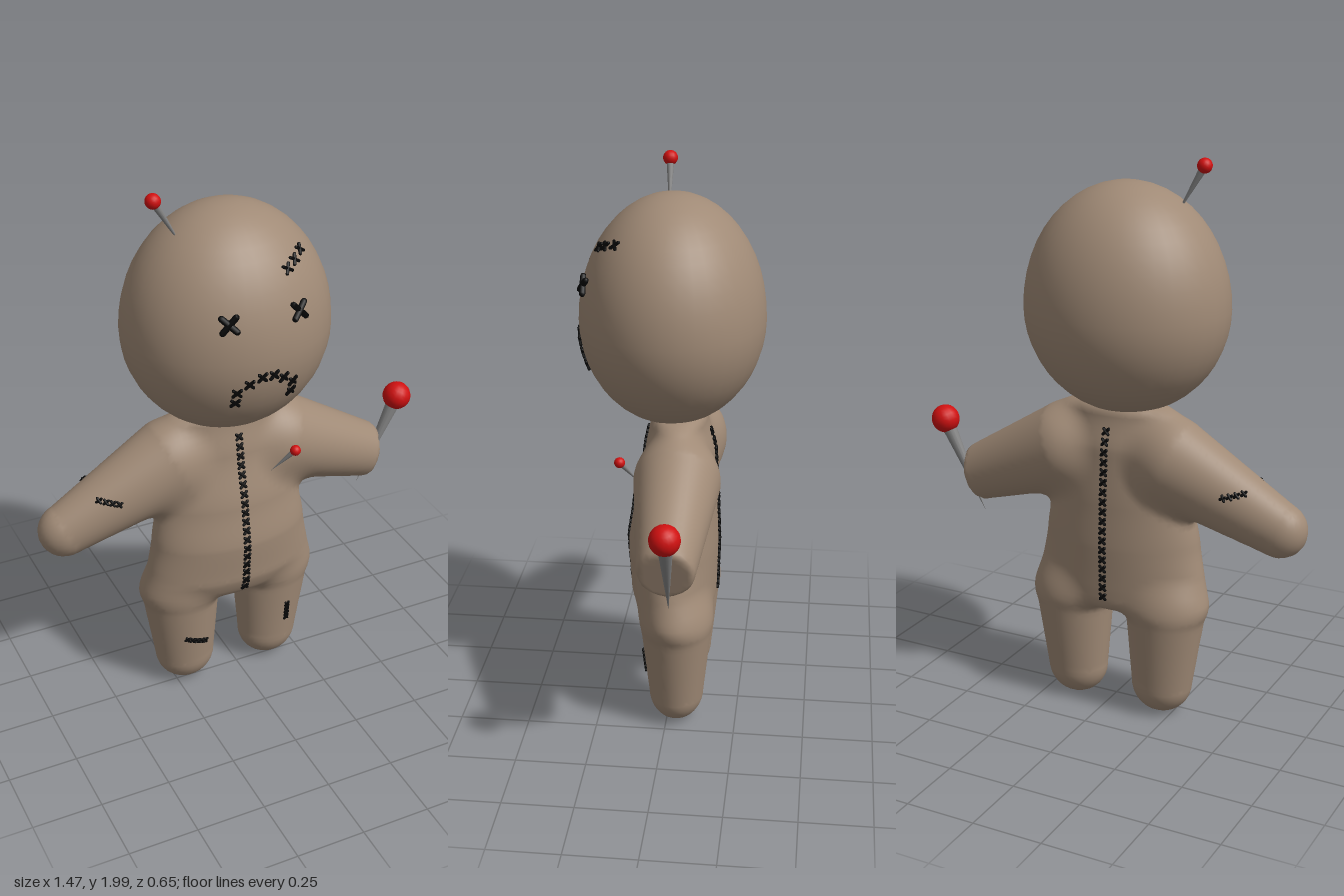
import * as THREE from 'three';

const mat = (name, color) => Object.assign(new THREE.MeshStandardMaterial({ color }), { name });
const CX = -0.03; // body centre line

// Blending helpers
const smin = (a, b, k) => {
  const h = Math.max(k - Math.abs(a - b), 0) / k;
  return Math.min(a, b) - h * h * k / 4;
};
const smax = (a, b, k) => -smin(-a, -b, k);

// Tapered limb from a to b in the xy plane, flattened in z
function limb(x, y, z, [ax, ay, ar], [bx, by, br], cz, flat) {
  const dx = bx - ax, dy = by - ay;
  const t = Math.min(1, Math.max(0, ((x - ax) * dx + (y - ay) * dy) / (dx * dx + dy * dy)));
  return Math.hypot(x - ax - t * dx, y - ay - t * dy, (z - cz) / flat) - (ar + t * (br - ar));
}

// Torso sections: height, half width, front z, back z
const TORSO = [
  [0.28, 0.30, 0.07, -0.15], [0.38, 0.33, 0.10, -0.16], [0.50, 0.32, 0.145, -0.165],
  [0.65, 0.295, 0.155, -0.168], [0.80, 0.27, 0.135, -0.163], [1.00, 0.24, 0.095, -0.152],
  [1.12, 0.20, 0.075, -0.125], [1.22, 0.16, 0.06, -0.11],
];
function torso(x, y, z) {
  let i = 0;
  while (i < TORSO.length - 2 && y > TORSO[i + 1][0]) i++;
  const a = TORSO[i], b = TORSO[i + 1];
  let t = Math.min(1, Math.max(0, (y - a[0]) / (b[0] - a[0])));
  t = 0.5 * t + 0.5 * t * t * (3 - 2 * t);
  const [w, f, r] = [1, 2, 3].map((n) => a[n] + t * (b[n] - a[n]));
  const d = (f - r) / 2;
  const side = (Math.hypot((x - CX) / w, (z - (f + r) / 2) / d) - 1) * d;
  return smax(smax(side, 0.40 - y, 0.05), y - 1.16, 0.04);
}

// Blended body: torso, two legs, a rounded right arm and a blunt left arm
function bodyField(x, y, z) {
  const s = Math.abs(x - CX);
  const leg = limb(s, y, z, [0.183, 0.40, 0.146], [0.172, 0.117, 0.112], -0.033, 0.88);
  const rightArm = limb(x, y, z, [-0.24, 0.96, 0.16], [-0.638, 0.785, 0.098], -0.04, 0.86);
  const leftArm = smax(
    limb(x, y, z, [0.18, 0.96, 0.16], [0.56, 0.795, 0.102], -0.037, 0.94),
    0.955 * (x - 0.562) - 0.29 * (y - 0.80), 0.02);
  return smin(smin(torso(x, y, z), leg, 0.045), Math.min(rightArm, leftArm), 0.05);
}

// Egg-shaped head
const HEAD = { x: -0.04, y: 1.485, w: 0.365, up: 0.43, down: 0.37, d: 0.322 };
const headField = (x, y, z) => (Math.hypot((x - HEAD.x) / HEAD.w,
  (y - HEAD.y) / (y > HEAD.y ? HEAD.up : HEAD.down), z / HEAD.d) - 1) * HEAD.d;

function normalAt(f, p) {
  const e = 0.004, [x, y, z] = p;
  return new THREE.Vector3(f(x + e, y, z) - f(x - e, y, z),
    f(x, y + e, z) - f(x, y - e, z), f(x, y, z + e) - f(x, y, z - e)).normalize();
}

// Skin a field: one vertex per crossed grid cell, one quad per crossed grid edge
function skin(f, min, max, step) {
  const n = min.map((m, i) => Math.ceil((max[i] - m) / step) + 1);
  const id = (i, j, k) => i + n[0] * (j + n[1] * k);
  const at = (c) => c.map((v, i) => min[i] + v * step);
  const val = new Float32Array(n[0] * n[1] * n[2]);
  const each = (lo, cut, fn) => {
    for (let k = lo; k < n[2] - cut; k++)
      for (let j = lo; j < n[1] - cut; j++)
        for (let i = lo; i < n[0] - cut; i++) fn([i, j, k]);
  };
  each(0, 0, (c) => { val[id(...c)] = f(...at(c)); });
  const pos = [], nor = [], idx = [], vert = new Map();
  each(0, 1, (c) => {
    const sum = [0, 0, 0];
    let hits = 0;
    for (let q = 0; q < 8; q++) for (let a = 0; a < 3; a++) {
      if (q >> a & 1) continue;
      const p = c.map((v, i) => v + (q >> i & 1)), r = p.slice();
      r[a]++;
      const u = val[id(...p)], v = val[id(...r)];
      if (u < 0 === v < 0) continue;
      p[a] += u / (u - v);
      p.forEach((w, i) => { sum[i] += w; });
      hits++;
    }
    if (!hits) return;
    const p = new THREE.Vector3(...at(sum.map((w) => w / hits)));
    p.addScaledVector(normalAt(f, p.toArray()), -0.8 * f(p.x, p.y, p.z));
    vert.set(id(...c), pos.length / 3);
    pos.push(...p.toArray());
    nor.push(...normalAt(f, p.toArray()).toArray());
  });
  each(1, 1, (c) => {
    for (let a = 0; a < 3; a++) {
      const r = c.slice();
      r[a]++;
      const inside = val[id(...c)] < 0;
      if (inside === val[id(...r)] < 0) continue;
      const cell = (du, dv) => {
        const q = c.slice();
        q[(a + 1) % 3] -= du;
        q[(a + 2) % 3] -= dv;
        return vert.get(id(...q));
      };
      const [A, B, C, D] = [cell(1, 1), cell(0, 1), cell(0, 0), cell(1, 0)];
      idx.push(...(inside ? [A, B, C, A, C, D] : [A, C, B, A, D, C]));
    }
  });
  const g = new THREE.BufferGeometry();
  g.setAttribute('position', new THREE.Float32BufferAttribute(pos, 3));
  g.setAttribute('normal', new THREE.Float32BufferAttribute(nor, 3));
  g.setIndex(idx);
  return g;
}

export function createModel() {
  const cloth = mat('cloth', 0xa08a76), thread = mat('thread', 0x050505);
  const red = mat('pinRed', 0xd01010), steel = mat('steel', 0x858585);
  const model = new THREE.Group();
  const add = (parent, name, geo, m) => {
    const mesh = new THREE.Mesh(geo, m);
    mesh.name = name;
    parent.add(mesh);
    return mesh;
  };

  add(model, 'body', skin(bodyField, [-0.80, -0.05, -0.24], [0.68, 1.22, 0.24], 0.02), cloth);

  // Head: a sphere stretched to the egg shape
  const head = new THREE.SphereGeometry(1, 36, 24);
  const hp = head.attributes.position;
  for (let i = 0; i < hp.count; i++) {
    const y = hp.getY(i);
    const p = [HEAD.x + hp.getX(i) * HEAD.w, HEAD.y + y * (y > 0 ? HEAD.up : HEAD.down), hp.getZ(i) * HEAD.d];
    hp.setXYZ(i, ...p);
    head.attributes.normal.setXYZ(i, ...normalAt(headField, p).toArray());
  }
  add(model, 'head', head, cloth);

  // Rows of crossed stitches laid on the cloth; side is +1 front, -1 back
  function stitches(name, field, points, reach, thick, side = 1, turn = 0) {
    const row = new THREE.Group();
    row.name = name;
    const geo = new THREE.CapsuleGeometry(thick, 2 * (reach - thick), 3, 6);
    for (const [x, y] of points) {
      let z = side * 0.4;
      for (let i = 0; i < 60; i++) z -= side * 0.7 * field(x, y, z);
      const n = normalAt(field, [x, y, z]);
      const cross = new THREE.Group();
      cross.position.set(x, y, z).addScaledVector(n, thick * 0.6);
      cross.quaternion.setFromUnitVectors(new THREE.Vector3(0, 0, 1), n);
      for (const s of [-1, 1]) add(cross, 'stitch', geo, thread).rotation.z = turn + s * Math.PI / 4;
      row.add(cross);
    }
    model.add(row);
  }
  const line = (x0, y0, x1, y1, n) => Array.from({ length: n }, (_, i) => {
    const t = i / (n - 1);
    return [x0 + t * (x1 - x0), y0 + t * (y1 - y0)];
  });
  stitches('eyes', headField, [[-0.16, 1.625], [0.085, 1.625]], 0.044, 0.011);
  stitches('mouth', headField, [[-0.138, 1.337], [-0.138, 1.38], [-0.10, 1.41], [-0.058, 1.43],
    [-0.016, 1.43], [0.022, 1.41], [0.062, 1.38], [0.062, 1.337]], 0.024, 0.006);
  stitches('foreheadScar', headField, line(0.068, 1.752, 0.142, 1.78, 3), 0.024, 0.006, 1, 0.3);
  for (const side of [1, -1]) {
    const where = side > 0 ? 'front' : 'back';
    stitches(where + 'Seam', bodyField, line(CX, 1.07, CX, 0.465, 18), 0.019, 0.006, side);
    stitches(where + 'ArmScar', bodyField, line(-0.535, 0.92, -0.472, 0.903, 4), 0.015, 0.005, side, -0.3);
  }
  stitches('rightLegScar', bodyField, line(-0.235, 0.243, -0.16, 0.21, 5), 0.014, 0.005, 1, -0.4);
  stitches('leftLegScar', bodyField, line(0.172, 0.28, 0.172, 0.213, 5), 0.014, 0.005);

  // Pins: ball head with a needle tapering to the tip
  function pin(name, ball, tip, r) {
    const group = new THREE.Group();
    group.name = name;
    const from = new THREE.Vector3(...ball), dir = new THREE.Vector3(...tip).sub(from);
    const len = dir.length();
    group.position.copy(from);
    group.quaternion.setFromUnitVectors(new THREE.Vector3(0, 1, 0), dir.normalize());
    add(group, 'pinBall', new THREE.SphereGeometry(r, 16, 12), red);
    add(group, 'needle', new THREE.ConeGeometry(r * 0.55, len, 12), steel).position.y = len / 2;
    model.add(group);
  }
  pin('headPin', [-0.305, 1.974, 0.037], [-0.205, 1.80, 0.03], 0.026);
  pin('chestPin', [0.15, 1.012, 0.165], [0.08, 0.912, 0.108], 0.019);
  pin('armPin', [0.685, 0.99, -0.05], [0.525, 0.655, -0.045], 0.052);
  return model;
}
